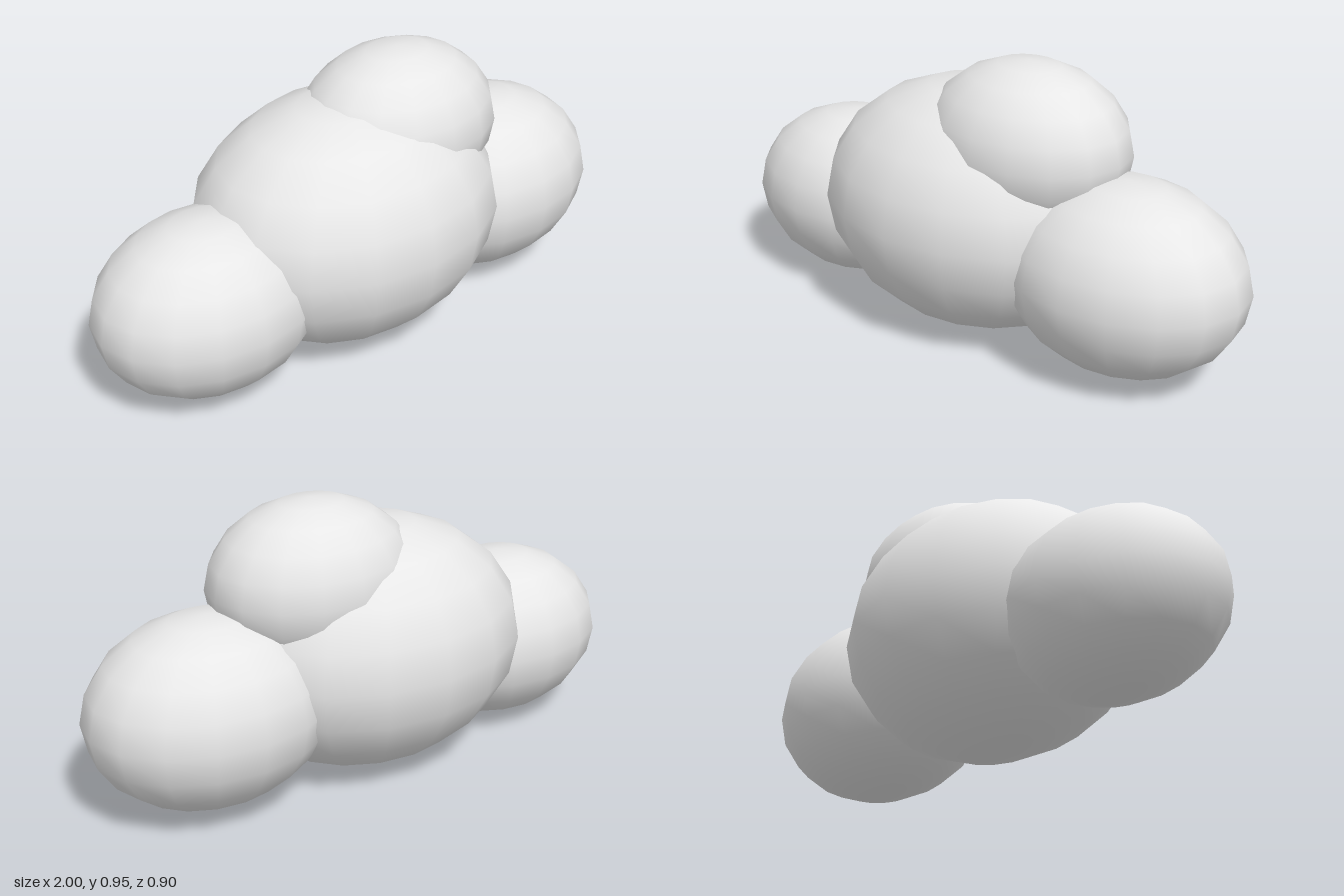
import * as THREE from 'three';

export function createModel() {
  const group = new THREE.Group();
  group.name = 'cloud';
  const cloudWhite = new THREE.MeshStandardMaterial({ color: 0xe8e8e8 });
  cloudWhite.name = 'cloudWhite';

  // All puffs share one sphere, stretched sideways and flattened
  const ball = new THREE.SphereGeometry(1, 16, 10);

  // name, centre x, centre y, half length
  const puffs = [
    ['middlePuff', -0.04, 0.424, 0.56],
    ['leftPuff', 0.577, 0.34, 0.422],
    ['rightPuff', -0.606, 0.313, 0.394],
    ['topPuff', 0.18, 0.684, 0.364],
  ];
  for (const [name, x, y, r] of puffs) {
    const puff = new THREE.Mesh(ball, cloudWhite);
    puff.name = name;
    puff.position.set(x, y, 0);
    puff.scale.set(r, r * 0.75, r * 0.8);
    group.add(puff);
  }
  return group;
}
